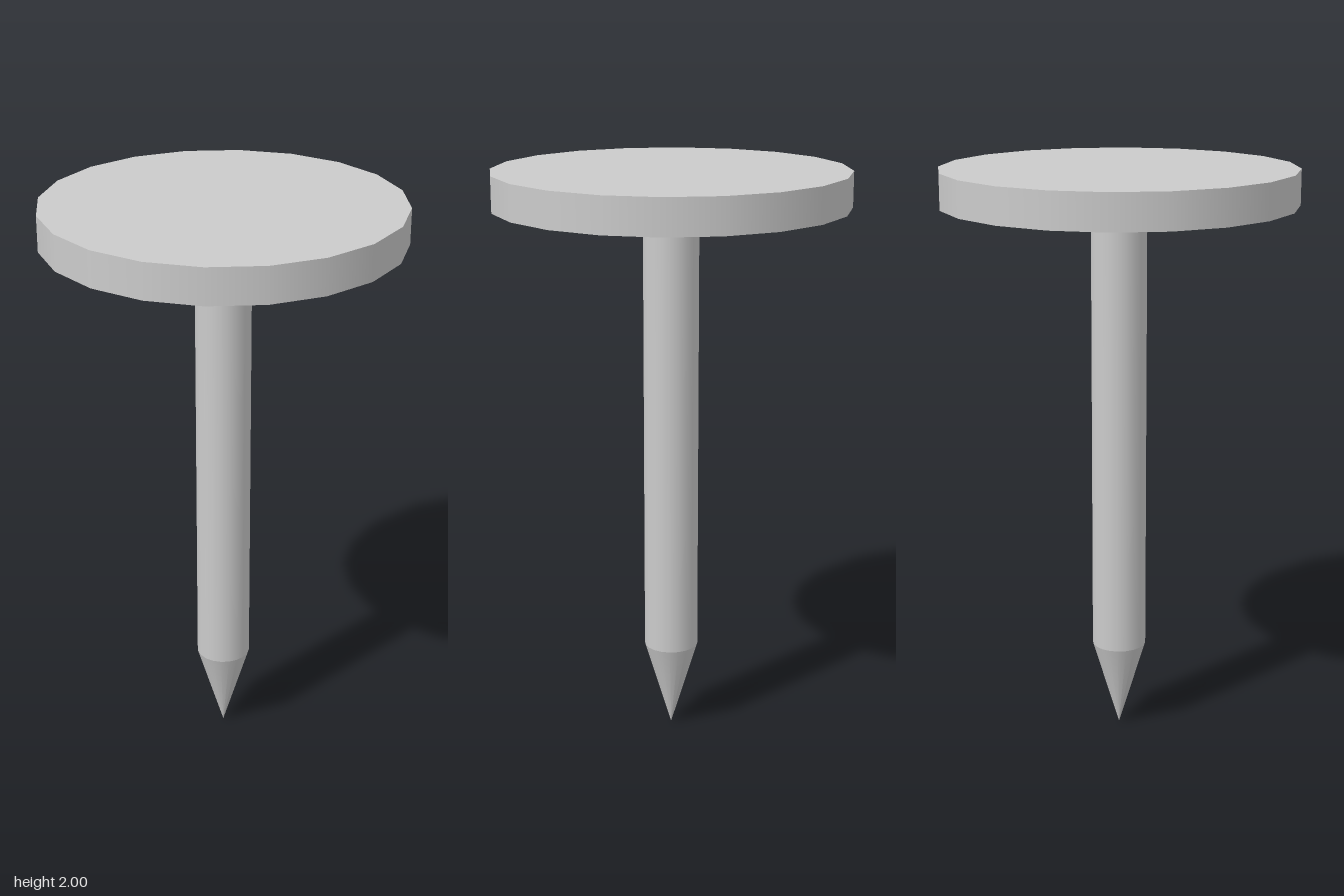
import * as THREE from 'three';

const SIDES = 20;

export function createModel() {
  const group = new THREE.Group();
  group.name = 'nail';
  const material = new THREE.MeshStandardMaterial({ color: 0xcccccc });

  // Adds a round section spanning two heights
  function addSection(name, topRadius, bottomRadius, bottom, top, open) {
    const geometry = new THREE.CylinderGeometry(topRadius, bottomRadius, top - bottom, SIDES, 1, open);
    const mesh = new THREE.Mesh(geometry, material);
    mesh.name = name;
    mesh.position.y = (bottom + top) / 2;
    group.add(mesh);
  }

  // Wide flat head
  addSection('head', 0.6, 0.6, 1.88, 2, false);
  // Straight shank, open where it meets the head and the point
  addSection('shank', 0.094, 0.094, 0.313, 1.88, true);
  // Tapered point
  addSection('point', 0.094, 0, 0, 0.313, true);

  return group;
}
